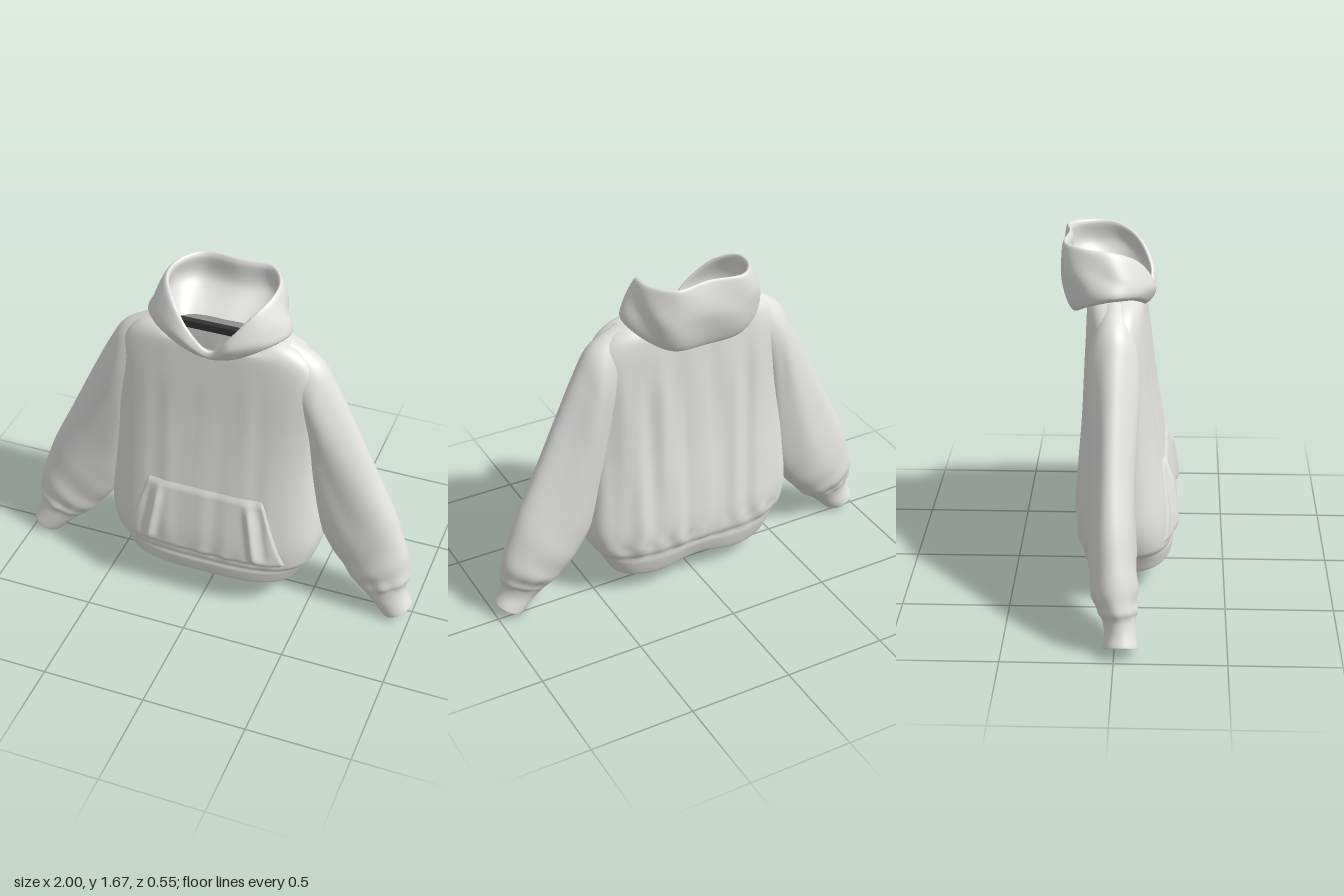
import * as THREE from 'three';

const cloth = new THREE.MeshStandardMaterial({ color: 0xe2e2df, side: THREE.DoubleSide });
cloth.name = 'light grey cloth';
const dark = new THREE.MeshStandardMaterial({ color: 0x333333 });
dark.name = 'dark tape';

// helpers
const step = (x, a, b) => THREE.MathUtils.smoothstep(x, a, b);
const pw = (v, e) => Math.sign(v) * Math.pow(Math.abs(v), e);
const bell = (x, w) => Math.exp(-(x * x) / (w * w));

// Smooth interpolation through rows of numbers
function spline(rows, t) {
  const n = rows.length - 1;
  const i = Math.min(Math.floor(t), n - 1), f = t - i;
  const at = (k) => rows[Math.max(0, Math.min(n, k))];
  return rows[0].map((_, c) => {
    const p0 = at(i - 1)[c], p1 = at(i)[c], p2 = at(i + 1)[c], p3 = at(i + 2)[c];
    const m1 = (p2 - p0) / 2, m2 = (p3 - p1) / 2, f2 = f * f, f3 = f2 * f;
    return p1 * (2 * f3 - 3 * f2 + 1) + m1 * (f3 - 2 * f2 + f) + p2 * (3 * f2 - 2 * f3) + m2 * (f3 - f2);
  });
}

// Surface from a rule fn(u, v) -> [x, y, z]; u may wrap round
function surface(name, fn, nu, nv, wrap) {
  const pos = [], idx = [], cols = wrap ? nu : nu + 1;
  for (let j = 0; j <= nv; j++)
    for (let i = 0; i < cols; i++) pos.push(...fn(i / nu, j / nv));
  for (let j = 0; j < nv; j++)
    for (let i = 0; i < nu; i++) {
      const a = j * cols + i, b = j * cols + ((i + 1) % cols), c = a + cols, d = b + cols;
      idx.push(a, c, b, b, c, d);
    }
  const g = new THREE.BufferGeometry();
  g.setAttribute('position', new THREE.Float32BufferAttribute(pos, 3));
  g.setIndex(idx);
  g.computeVertexNormals();
  const m = new THREE.Mesh(g, cloth);
  m.name = name;
  return m;
}

// Body rows: height, half width, front z, back z
const BODY = [
  [0.21, 0.44, 0.245, -0.155], [0.137, 0.42, 0.242, -0.142], [0.13, 0.43, 0.254, -0.152],
  [0.2, 0.462, 0.262, -0.178], [0.235, 0.48, 0.259, -0.183], [0.28, 0.51, 0.262, -0.198],
  [0.4, 0.533, 0.252, -0.2], [0.6, 0.515, 0.22, -0.185], [0.8, 0.498, 0.186, -0.168],
  [1.0, 0.495, 0.156, -0.158], [1.2, 0.492, 0.134, -0.153], [1.32, 0.462, 0.12, -0.15],
  [1.4, 0.39, 0.112, -0.143], [1.44, 0.29, 0.108, -0.115], [1.43, 0.21, 0.1, -0.075],
];
const HEM_END = 4, ROUND = 0.64;

function bodyPoint(a, t) {
  let [y, w, zf, zb] = spline(BODY, t);
  const s = Math.sin(a), x = w * pw(Math.cos(a), ROUND);
  let z = (s > 0 ? zf : -zb) * pw(s, ROUND);
  // vertical drape folds, deeper on the back
  const fade = step(y, 0.23, 0.3) * (1 - step(y, 1.0, 1.36));
  const wave = Math.cos(x * 38 + 0.7 * Math.sin(y * 3 + x * 4)) + 0.4 * Math.sin(x * 63 + y * 2);
  z += fade * s * (s > 0 ? 0.002 : 0.008) * wave;
  // gathers just above the hem
  z += s * 0.008 * bell(y - 0.29, 0.04) * Math.cos(x * 55) * (s > 0 ? 0.2 : 1);
  // hem sits higher in front and arches at the centre back
  const low = 1 - step(y, 0.13, 0.3), k = Math.abs(s);
  y += low * (0.018 + k * (s > 0 ? 0.017 : -0.053 + 0.045 * bell(x, 0.15)));
  // neckline drops at the centre front
  if (s > 0 && t > 10) y -= 0.09 * step(t, 11, 14) * s * s;
  return [x, y, z];
}

// Front surface of the body at a given x and y
function onFront(x, y) {
  let lo = HEM_END, hi = 12;
  for (let i = 0; i < 24; i++) {
    const mid = (lo + hi) / 2;
    if (spline(BODY, mid)[0] < y) lo = mid; else hi = mid;
  }
  const w = spline(BODY, lo)[1];
  return bodyPoint(Math.acos(pw(x / w, 1 / ROUND)), lo)[2];
}

// Front pocket with slanted openings and a soft fold beside each
function pocketPoint(u, v) {
  const s = u * 2 - 1, y = 0.265 + 0.4 * v;
  const half = 0.425 - 0.14 * Math.pow(v, 0.9), x = s * half;
  const edge = step(1 - Math.abs(s), 0, 0.035) * step(v, 0, 0.1) * step(1 - v, 0, 0.14);
  const ridgeX = 0.22 + (0.64 - y) * 0.16;
  const ridge = bell(Math.abs(x) - ridgeX, 0.024) * step(y, 0.27, 0.34) * (1 - step(y, 0.52, 0.65));
  const dent = bell(Math.abs(x) - ridgeX - 0.05, 0.02) * step(y, 0.28, 0.36) * (1 - step(y, 0.5, 0.64));
  return [x, y, onFront(x, y) - 0.005 + edge * (0.014 + 0.026 * ridge - 0.006 * dent)];
}

// Sleeve rows: outer x, y, inner x, y, centre z, half depth
const SLEEVE = [
  [0.34, 1.435, 0.36, 1.15, -0.015, 0.09], [0.475, 1.355, 0.4, 0.98, -0.017, 0.113],
  [0.555, 1.23, 0.43, 0.82, -0.016, 0.116], [0.655, 1.03, 0.45, 0.64, -0.014, 0.108],
  [0.77, 0.79, 0.485, 0.48, -0.014, 0.103], [0.885, 0.55, 0.545, 0.35, -0.012, 0.106],
  [0.955, 0.34, 0.635, 0.23, -0.005, 0.106], [0.972, 0.235, 0.7, 0.155, 0.01, 0.092],
  [0.964, 0.18, 0.755, 0.112, 0.02, 0.076], [0.975, 0.13, 0.8, 0.07, 0.028, 0.072],
  [1.0, 0.078, 0.865, 0.003, 0.03, 0.077], [0.985, 0.085, 0.87, 0.022, 0.03, 0.068],
  [0.95, 0.15, 0.8, 0.09, 0.025, 0.055],
];
const CUFF = 8;

function sleevePoint(a, t, side) {
  const [ox, oy, ix, iy, zc, d] = spline(SLEEVE, t);
  // long folds near the shoulder, short creases and gathers near the cuff
  const c = Math.cos(a), s = Math.sin(a);
  const long = 0.05 * Math.sin(5 * a + 0.8 * t) * step(t, 0.5, 2) * (1 - step(t, 4, 6));
  const crease = 0.045 * Math.sin(t * 5.2 + 2 * c + s) * step(t, 4.5, 6) * (1 - step(t, 7, 8));
  const gather = 0.04 * Math.cos(9 * a) * bell(t - 7.2, 0.6);
  const bulge = 1 + (long + crease + gather) * (1 - 0.75 * Math.abs(c));
  const x = (ox + ix) / 2 + (ox - ix) / 2 * c * bulge;
  const y = (oy + iy) / 2 + (oy - iy) / 2 * c * bulge;
  return [side * x, y, zc + d * s * bulge];
}

// Hood rings, each from centre front round to centre back
const HOOD_OUT = [
  [0, 1.33, 0.11, 0.13, 1.36, 0.11, 0.22, 1.4, 0.07, 0.27, 1.42, 0, 0.22, 1.4, -0.1, 0.13, 1.38, -0.14, 0, 1.38, -0.14],
  [0, 1.345, 0.135, 0.13, 1.385, 0.138, 0.27, 1.44, 0.085, 0.342, 1.455, -0.02, 0.29, 1.405, -0.15, 0.17, 1.345, -0.21, 0, 1.335, -0.21],
  [0, 1.362, 0.148, 0.12, 1.435, 0.164, 0.25, 1.49, 0.1, 0.315, 1.535, -0.02, 0.285, 1.53, -0.16, 0.18, 1.5, -0.26, 0, 1.5, -0.255],
  [0, 1.385, 0.145, 0.1, 1.473, 0.15, 0.2, 1.573, 0.09, 0.267, 1.63, -0.02, 0.257, 1.642, -0.15, 0.165, 1.647, -0.25, 0, 1.652, -0.238],
];
const HOOD_IN = [
  [0, 1.39, 0.133, 0.09, 1.473, 0.136, 0.185, 1.573, 0.073, 0.245, 1.627, -0.025, 0.235, 1.639, -0.14, 0.155, 1.642, -0.226, 0, 1.647, -0.216],
  [0, 1.378, 0.125, 0.09, 1.44, 0.13, 0.2, 1.5, 0.07, 0.25, 1.54, -0.02, 0.24, 1.54, -0.14, 0.16, 1.53, -0.21, 0, 1.53, -0.2],
  [0, 1.37, 0.11, 0.1, 1.39, 0.1, 0.17, 1.41, 0.05, 0.2, 1.43, 0, 0.17, 1.43, -0.05, 0.1, 1.43, -0.07, 0, 1.43, -0.07],
];

// Closed ring from a half ring; the hood leans a little to its right
function ringCurve(r) {
  const pts = [], at = (i, k) => new THREE.Vector3(r[i * 3] * k, r[i * 3 + 1], r[i * 3 + 2]);
  for (let i = 0; i < 7; i++) pts.push(at(i, 0.95));
  for (let i = 5; i > 0; i--) pts.push(at(i, -1.04));
  return new THREE.CatmullRomCurve3(pts, true, 'catmullrom', 0.5);
}
const hoodCurves = [...HOOD_OUT, ...HOOD_IN].map(ringCurve);

function hoodPoint(u, v) {
  const t = v * (hoodCurves.length - 1);
  const p = spline(hoodCurves.map((c) => c.getPoint(u).toArray()), t);
  // slack creases round the outside
  const k = 1 + 0.025 * bell(t - 2, 0.6) * Math.sin(u * Math.PI * 14 + t * 2) * step(0.5 - Math.abs(u - 0.5), 0.12, 0.3);
  return [p[0] * k, p[1], p[2] * k];
}

export function createModel() {
  const group = new THREE.Group();
  group.name = 'hooded sweatshirt';
  const TAU = Math.PI * 2, last = BODY.length - 1;
  group.add(
    surface('hem', (u, v) => bodyPoint(u * TAU, v * HEM_END), 160, 24, true),
    surface('body', (u, v) => bodyPoint(u * TAU, HEM_END + v * (last - HEM_END)), 200, 90, true),
    surface('pocket', pocketPoint, 110, 50, false),
    surface('hood', hoodPoint, 120, 60, true),
  );
  for (const side of [1, -1]) {
    const label = side > 0 ? 'left' : 'right', end = SLEEVE.length - 1;
    group.add(
      surface(label + 'Sleeve', (u, v) => sleevePoint(-side * u * TAU, v * CUFF, side), 72, 90, true),
      surface(label + 'Cuff', (u, v) => sleevePoint(-side * u * TAU, CUFF + v * (end - CUFF), side), 72, 24, true),
    );
  }
  // dark tape across the neck
  const tape = new THREE.Mesh(new THREE.BoxGeometry(0.38, 0.035, 0.03), dark);
  tape.name = 'neckTape';
  tape.position.set(-0.01, 1.42, -0.005);
  group.add(tape);
  return group;
}
